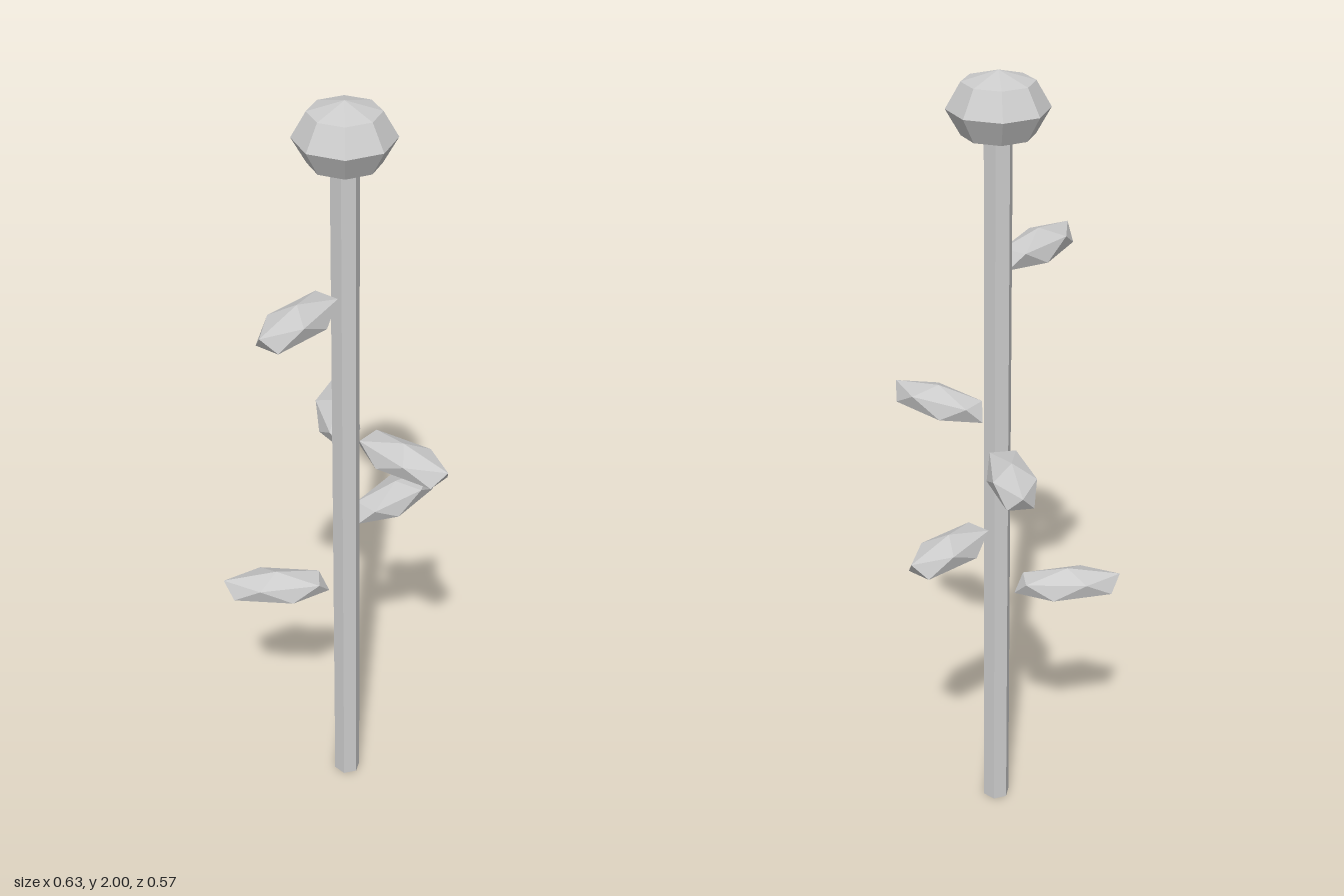
import * as THREE from 'three';

const material = new THREE.MeshStandardMaterial({ color: 0xcccccc, flatShading: true });

function part(name, geometry, y) {
  const mesh = new THREE.Mesh(geometry, material);
  mesh.name = name;
  mesh.position.y = y;
  return mesh;
}

export function createModel() {
  const model = new THREE.Group();
  model.name = 'plant';
  const plant = new THREE.Group();
  plant.name = 'stalk';
  plant.position.set(-0.002, 0, -0.037);
  model.add(plant);

  // Hexagonal stem
  plant.add(part('stem', new THREE.CylinderGeometry(0.035, 0.035, 1.9, 6), 0.95));

  // Flattened faceted bud on top
  const bud = new THREE.SphereGeometry(1, 8, 4);
  bud.scale(0.121, 0.0875, 0.121);
  plant.add(part('bud', bud, 1.9125));

  // Leaf: icosahedron with one corner up and a neighbouring corner as the outer tip (+z)
  const leaf = new THREE.IcosahedronGeometry(1);
  leaf.rotateX(-Math.atan((1 + Math.sqrt(5)) / 2));
  leaf.scale(0.062, 0.045, 0.153);
  leaf.translate(0, 0, 0.182);

  // Leaves around the stem: [height, compass angle in degrees from +x toward +z]
  const leaves = [[0.65, 223.3], [0.84, 0], [1.058, 309], [1.127, 86.2], [1.525, 172.4]];
  leaves.forEach(([y, angle], i) => {
    const mesh = part(`leaf${i + 1}`, leaf, y);
    mesh.rotation.y = THREE.MathUtils.degToRad(90 - angle);
    plant.add(mesh);
  });

  return model;
}
